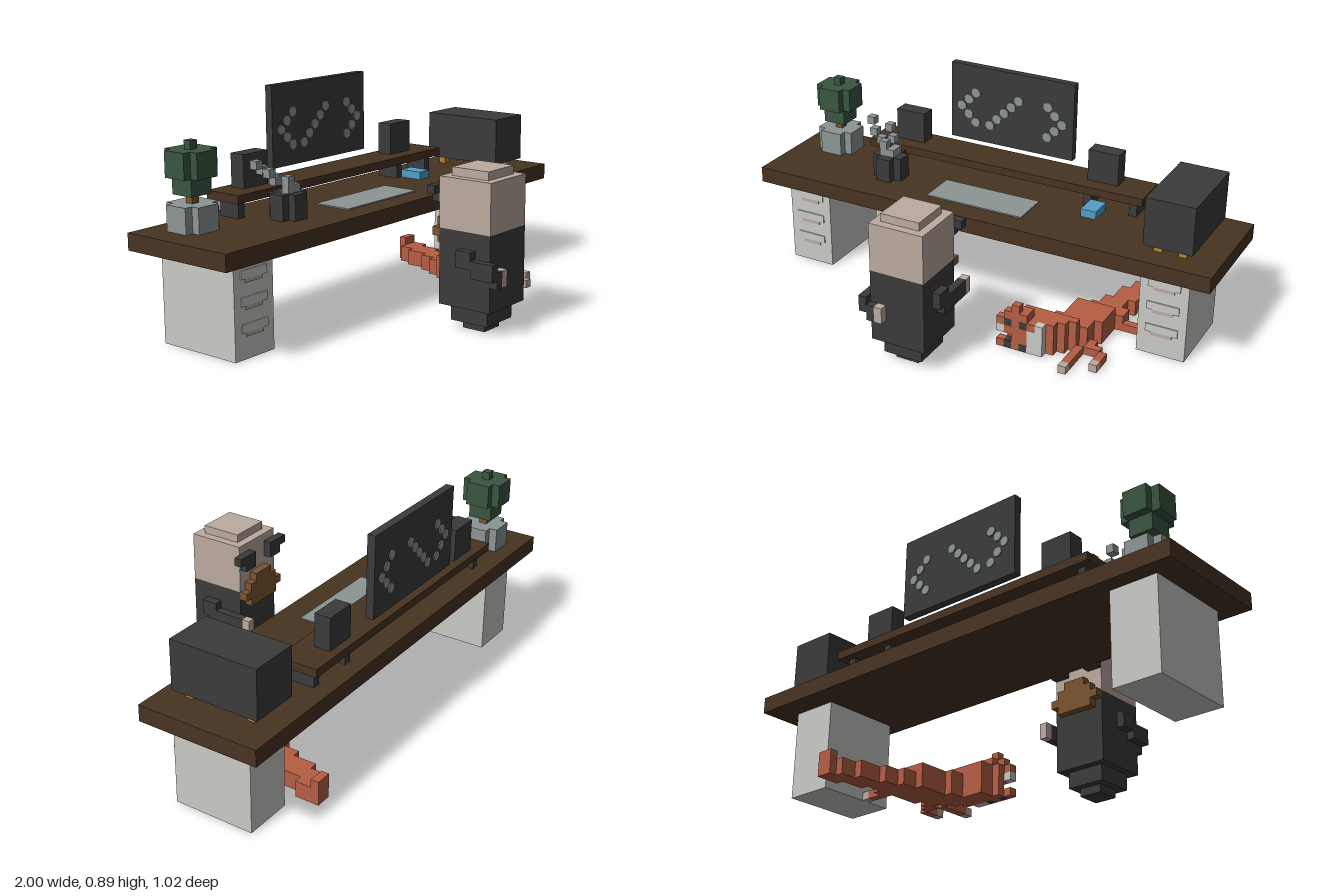
import * as THREE from 'three';

const U = 2 / 61; // one block
const mat = (name, color) => Object.assign(new THREE.MeshStandardMaterial({ color }), { name });
const M = {
  wood: mat('dark wood', 0x483422),
  dark: mat('charcoal', 0x3b3b3b),
  white: mat('off white', 0xcacac5),
  skin: mat('skin', 0xbcaaa0),
  green: mat('leaf green', 0x3a5641),
  grey: mat('steel grey', 0x8d9595),
  brown: mat('brown', 0x7a5430),
  gold: mat('gold', 0xb5842f),
  blue: mat('blue', 0x529fc6),
  fox: mat('fox orange', 0xb65e44),
};

// Box spanning block ranges in x, y and z
function block(parent, name, m, [i0, i1], [j0, j1], [k0, k1]) {
  const mesh = new THREE.Mesh(new THREE.BoxGeometry((i1 - i0) * U, (j1 - j0) * U, (k1 - k0) * U), m);
  mesh.name = name;
  mesh.position.set((i0 + i1) / 2 * U - 1, (j0 + j1) / 2 * U, ((k0 + k1) / 2 - 15.5) * U);
  parent.add(mesh);
  return mesh;
}

// Square column with the corner blocks left out
function octagon(parent, name, m, [i0, i1], j, [k0, k1]) {
  block(parent, name, m, [i0 + 1, i1 - 1], j, [k0, k1]);
  block(parent, name, m, [i0, i0 + 1], j, [k0 + 1, k1 - 1]);
  block(parent, name, m, [i1 - 1, i1], j, [k0 + 1, k1 - 1]);
}

function group(parent, name) {
  const g = new THREE.Group();
  g.name = name;
  parent.add(g);
  return g;
}

function buildDesk(root) {
  const g = group(root, 'desk');
  block(g, 'deskTop', M.wood, [0, 61], [11, 13], [0, 15]);
  for (const [i, back] of [[3, 2], [52, 3]]) {
    block(g, 'cabinet', M.white, [i, i + 6], [0, 11], [back, 13]);
    for (const j of [3, 6, 9]) {
      block(g, 'drawerHandle', M.white, [i + 1, i + 5], [j, j + 1], [13, 13.15]);
      block(g, 'handleUnderside', M.skin, [i + 1.7, i + 4.3], [j - 0.45, j], [13, 13.1]);
    }
  }
  // Raised shelf on short legs
  block(g, 'shelf', M.wood, [11, 49], [15, 16], [1, 6]);
  for (const i of [12, 41, 47]) block(g, 'shelfLeg', M.dark, [i, i + 1], [13, 15], [2, 5]);
}

function buildEquipment(root) {
  const g = group(root, 'equipment');
  block(g, 'monitor', M.dark, [21, 38], [17, 27], [1, 2]);
  // Pixel marks that show on both sides of the monitor
  const dot = new THREE.CylinderGeometry(U * 0.62, U * 0.62, U + 0.008, 8);
  dot.rotateY(Math.PI / 8).rotateX(Math.PI / 2);
  for (let r = 0; r < 5; r++) {
    const bend = Math.abs(r - 2);
    for (const i of [22 + bend, 26 + r, 36 - bend]) {
      const mesh = new THREE.Mesh(dot, M.grey);
      mesh.name = 'screenMark';
      mesh.position.set((i + 0.5) * U - 1, (19.5 + r) * U, -14 * U);
      g.add(mesh);
    }
  }
  for (const i of [14, 41]) block(g, 'speaker', M.dark, [i, i + 4], [16, 20], [2, 4]);
  block(g, 'keyboard', M.grey, [23, 36], [13, 13.15], [7, 12]);
  block(g, 'notebook', M.blue, [42, 44], [13, 14], [5, 8]);
  // Large case on four small feet
  block(g, 'case', M.dark, [52, 58], [14, 20], [2, 13]);
  for (const i of [53, 56]) for (const k of [3, 11])
    block(g, 'caseFoot', M.gold, [i, i + 1], [13, 14], [k, k + 1]);
}

function buildPlant(root) {
  const g = group(root, 'plant');
  octagon(g, 'pot', M.grey, [3, 8], [13, 16], [2, 7]);
  block(g, 'trunk', M.brown, [5, 6], [16, 17], [4, 5]);
  block(g, 'lowerLeaves', M.green, [4, 7], [17, 19], [3, 6]);
  octagon(g, 'leaves', M.green, [3, 8], [19, 22], [2, 7]);
  block(g, 'topLeaf', M.green, [5, 6], [22, 23], [4, 5]);
}

function buildPens(root) {
  const g = group(root, 'penCup');
  octagon(g, 'cup', M.dark, [14, 18], [13, 16], [7, 11]);
  block(g, 'cupInside', M.brown, [15, 17], [16, 16.15], [8, 10]);
  const pens = [
    [[15, 16, 9], [14, 17, 8], [13, 18, 8], [12, 19, 7]],
    [[16, 16, 8], [15, 17, 7], [14, 18, 6]],
    [[16, 16, 9], [15, 17, 9]],
  ];
  for (const pen of pens) for (const [i, j, k] of pen)
    block(g, 'pen', M.grey, [i, i + 1], [j, j + 1], [k, k + 1]);
}

function buildPerson(root) {
  const g = group(root, 'person');
  block(g, 'base', M.dark, [28, 31], [0, 1], [25, 28]);
  block(g, 'lowerBody', M.dark, [27, 32], [1, 3], [24, 29]);
  block(g, 'body', M.dark, [26, 33], [3, 12], [23, 30]);
  block(g, 'head', M.skin, [26, 33], [12, 18], [23, 30]);
  block(g, 'headTop', M.skin, [27, 32], [18, 19], [24, 29]);
  // Face, turned to the desk
  for (const [a, b, c, d] of [[25, 28, 26, 28], [31, 34, 31, 33]]) {
    block(g, 'glasses', M.dark, [a, b], [16, 17], [22, 23]);
    block(g, 'glasses', M.dark, [c, d], [15, 16], [22, 23]);
  }
  [[27, 32], [26, 33], [27, 32], [28, 31]].forEach((w, r) =>
    block(g, 'beard', M.brown, w, [10 + r, 11 + r], [22, 23]));
  // Arm reaching for the desk
  block(g, 'upperArm', M.dark, [33, 34], [8, 10], [26, 28]);
  block(g, 'foreArm', M.dark, [33, 34], [7, 9], [22, 26]);
  block(g, 'foreArm', M.dark, [33, 34], [7, 8], [26, 27]);
  block(g, 'hand', M.skin, [33, 34], [7, 9], [21, 22]);
  // Arm folded behind the back
  block(g, 'upperArm', M.dark, [25, 26], [8, 10], [26, 28]);
  block(g, 'foreArm', M.dark, [25, 26], [7, 9], [28, 31]);
  block(g, 'foreArm', M.dark, [26, 27], [6, 8], [30, 31]);
  block(g, 'hand', M.skin, [27, 28], [6, 8], [30, 31]);
}

function buildFox(root) {
  const g = group(root, 'fox');
  // Head, one row of blocks at a time from the ground up: [from, to, material]
  const rows = [
    [[37, 38, 'fox'], [38, 39, 'dark'], [39, 40, 'fox'], [40, 41, 'dark'], [41, 43, 'white']],
    [[39, 41, 'fox'], [41, 43, 'white']],
    [[37, 38, 'white'], [38, 41, 'fox'], [41, 43, 'white']],
    [[37, 38, 'fox'], [38, 39, 'dark'], [39, 40, 'fox'], [40, 41, 'dark'], [41, 42, 'fox'], [42, 43, 'white']],
    [[38, 41, 'fox']],
    [[39, 40, 'fox']],
  ];
  rows.forEach((row, j) => row.forEach(([a, b, m]) =>
    block(g, 'head', M[m], [a, b], [j, j + 1], [19, 20])));
  block(g, 'ear', M.fox, [39, 41], [4, 5], [18, 19]);
  // Body and tail step back diagonally: [from, to, height, back, front]
  const steps = [
    [38, 44, 4, 18, 19], [39, 45, 4, 17, 18], [39, 46, 4, 16, 17],
    [42, 47, 3, 14, 16], [43, 48, 3, 12, 14], [43, 48, 3, 10, 12],
    [44, 49, 2, 8, 10], [45, 48, 2, 6, 8], [46, 49, 2, 3, 6],
    [47, 50, 2, 1, 3], [48, 50, 3, 0, 1],
  ];
  for (const [a, b, h, k0, k1] of steps)
    block(g, k1 > 8 ? 'body' : 'tail', M.fox, [a, b], [0, h], [k0, k1]);
  // Legs ending in pale paws
  const legs = [
    [[47, 16], [46, 17], [46, 18], [46, 19], [46, 20], [46, 21]],
    [[47, 15], [48, 16], [49, 17], [49, 18], [49, 19]],
    [[49, 9], [50, 9], [51, 9]],
  ];
  for (const leg of legs) leg.forEach(([i, k], n) => {
    const paw = n === leg.length - 1;
    block(g, paw ? 'paw' : 'leg', paw ? M.skin : M.fox, [i, i + 1], [0, 1], [k, k + 1]);
  });
}

export function createModel() {
  const root = new THREE.Group();
  root.name = 'officeScene';
  for (const build of [buildDesk, buildEquipment, buildPlant, buildPens, buildPerson, buildFox]) build(root);
  return root;
}
